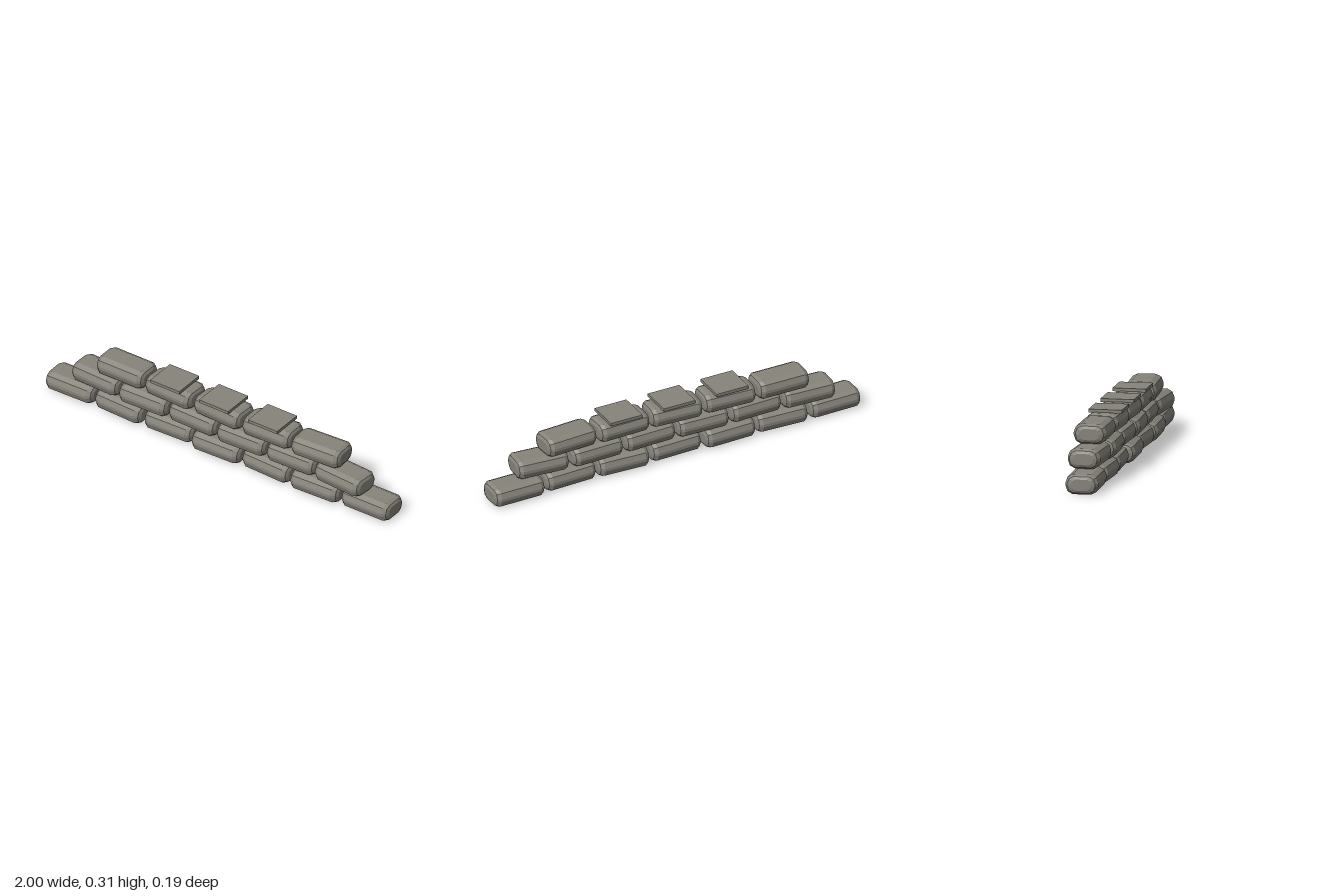
import * as THREE from 'three';

const sandbagGrey = new THREE.MeshStandardMaterial({ color: 0x87847b, flatShading: true });
sandbagGrey.name = 'sandbagGrey';

// Quarter of the bag cross-section as fractions of half depth (z) and half height (y)
const QUARTER = [[1, 0.14], [0.87, 0.72], [0.56, 1]];
// Rings along the bag: x, half depth, half height
const HALF_RINGS = [[0.11, 0.08, 0.0485], [0.128, 0.068, 0.04], [0.135, 0.048, 0.027]];

// Plump bag lofted through rings, with closed ends
function bagGeometry() {
  const back = [...QUARTER].reverse();
  const section = [
    ...QUARTER,
    ...back.map(([z, y]) => [-z, y]),
    ...QUARTER.map(([z, y]) => [-z, -y]),
    ...back.map(([z, y]) => [z, -y]),
  ];
  const rings = [
    ...[...HALF_RINGS].reverse().map(([x, d, h]) => [-x, d, h]),
    ...HALF_RINGS,
  ];
  const n = section.length;
  const positions = [];
  const index = [];
  for (const [x, d, h] of rings) {
    for (const [z, y] of section) positions.push(x, y * h, z * d);
  }
  for (let r = 0; r < rings.length - 1; r++) {
    for (let i = 0; i < n; i++) {
      const a = r * n + i;
      const b = r * n + (i + 1) % n;
      index.push(a, a + n, b, b, a + n, b + n);
    }
  }
  const last = (rings.length - 1) * n;
  for (let i = 1; i < n - 1; i++) {
    index.push(0, i, i + 1);
    index.push(last, last + i + 1, last + i);
  }
  const geometry = new THREE.BufferGeometry();
  geometry.setAttribute('position', new THREE.Float32BufferAttribute(positions, 3));
  geometry.setIndex(index);
  geometry.computeVertexNormals();
  return geometry;
}

// Courses from the ground up: z shift and yaw of every bag
const SPACING = 0.288;
const COURSES = [
  { y: 0.0485, z: [0.004, 0.002, -0.004, 0.01, -0.003, 0.003, -0.016], yaw: [0.02, -0.04, 0.03, 0.03, -0.04, 0.04, 0.01] },
  { y: 0.147, z: [-0.008, 0.004, -0.003, 0.003, -0.005, 0.006], yaw: [-0.04, 0.03, -0.02, 0.03, 0.03, -0.07] },
  { y: 0.2425, z: [-0.012, -0.008, -0.006, -0.005, -0.006], yaw: [0, -0.04, -0.05, 0.03, 0.06] },
];

export function createModel() {
  const model = new THREE.Group();
  model.name = 'sandbagWall';

  // Staggered courses of sandbags
  const bag = bagGeometry();
  COURSES.forEach((course, c) => {
    const row = new THREE.Group();
    row.name = `sandbagCourse${c + 1}`;
    course.z.forEach((z, i) => {
      const mesh = new THREE.Mesh(bag, sandbagGrey);
      mesh.name = `sandbag${i + 1}`;
      mesh.position.set((i - (course.z.length - 1) / 2) * SPACING, course.y, z);
      mesh.rotation.y = course.yaw[i];
      row.add(mesh);
    });
    model.add(row);
  });

  // Flat slabs resting on the three middle bags
  const slab = new THREE.BoxGeometry(0.172, 0.016, 0.164);
  for (const i of [-1, 0, 1]) {
    const mesh = new THREE.Mesh(slab, sandbagGrey);
    mesh.name = `topSlab${i + 2}`;
    mesh.position.set(i * SPACING, 0.297, -0.002);
    model.add(mesh);
  }
  return model;
}
